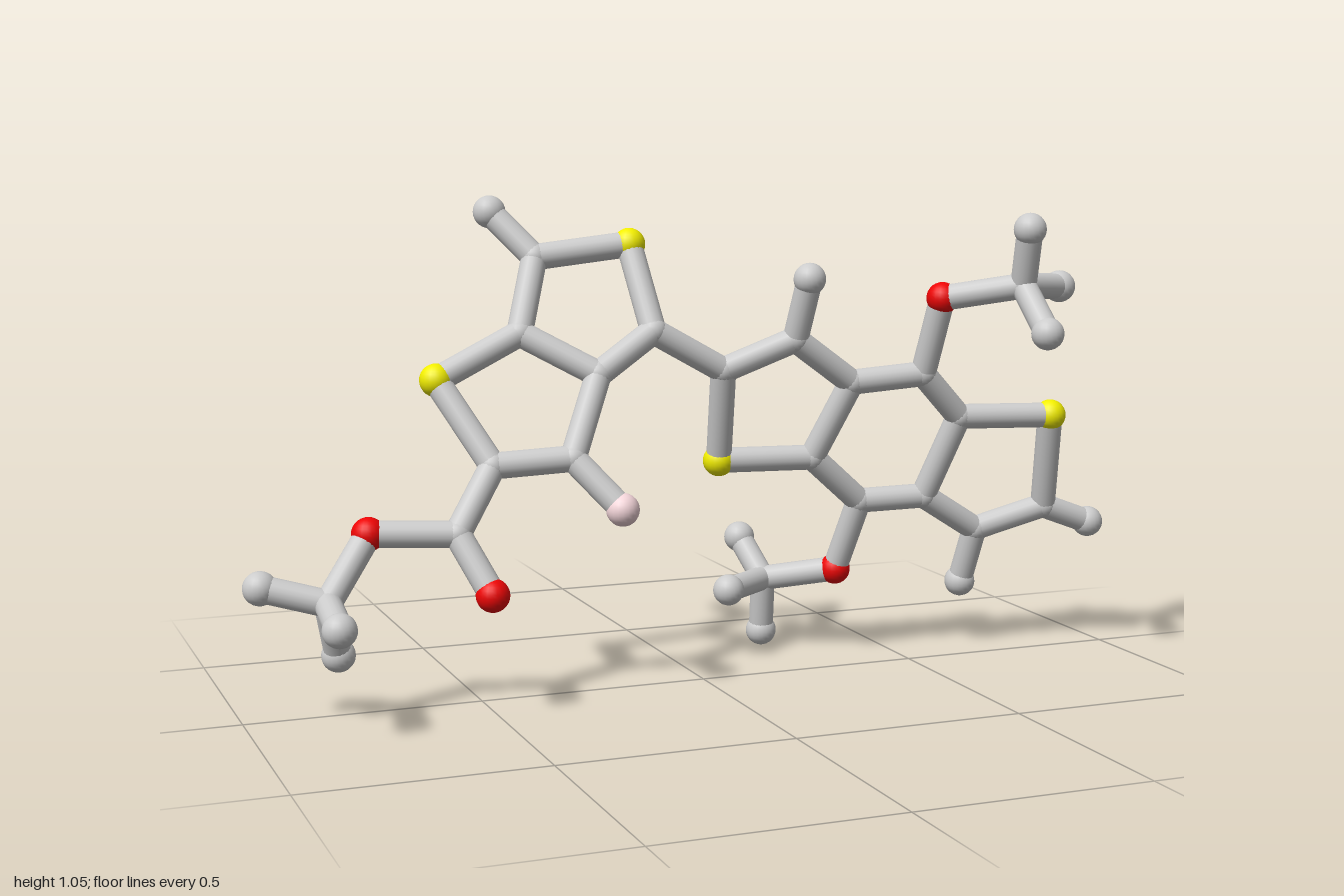
import * as THREE from 'three';

const ATOM_R = 0.035, JOINT_R = 0.03, BOND_R = 0.028;
const grey = new THREE.MeshStandardMaterial({ color: 0xcccccc });
const yellow = new THREE.MeshStandardMaterial({ color: 0xf2ee00 });
const red = new THREE.MeshStandardMaterial({ color: 0xee0505 });
const pink = new THREE.MeshStandardMaterial({ color: 0xf4d6da });

// kind of atom: [name, material, radius]
const KINDS = {
  C: ['carbonJoint', grey, JOINT_R],
  H: ['endAtom', grey, ATOM_R],
  S: ['sulfurAtom', yellow, ATOM_R],
  O: ['oxygenAtom', red, ATOM_R],
  F: ['fluorineAtom', pink, ATOM_R],
};

// Each flat ring system lies in a tilted plane z = f(x, y)
const leftPlane = (x, y) => 0.383 + 0.189 * x - 0.507 * y;
const rightPlane = (x, y) => -0.246 + 0.155 * x + 0.319 * y;

// Atoms: the first letter of the key is the kind; z comes from the plane unless given
const leftAtoms = {
  H1: [-0.41, 1.015], C1: [-0.33, 0.92], S1: [-0.125, 0.945],
  C2: [-0.105, 0.765], C3: [-0.235, 0.68], C4: [-0.385, 0.765],
  S2: [-0.57, 0.675], C5: [-0.48, 0.505], C6: [-0.315, 0.515],
  F1: [-0.23, 0.413],
  // ester arm and its methyl end
  C7: [-0.57, 0.377], O1: [-0.517, 0.26], O2: [-0.745, 0.383],
  C20: [-0.84, 0.257], H20: [-0.967, 0.29, 0.055],
  H21: [-0.81, 0.137, 0.04], H22: [-0.847, 0.233, 0.234],
};
const rightAtoms = {
  C8: [0.055, 0.675], S3: [0.07, 0.468], C9: [0.205, 0.74], H2: [0.218, 0.873],
  C10: [0.345, 0.64], C11: [0.28, 0.468], C12: [0.505, 0.655], C13: [0.605, 0.553],
  S4: [0.82, 0.55], C14: [0.845, 0.33], H3: [0.962, 0.286],
  C15: [0.69, 0.28], H4: [0.677, 0.15], C16: [0.553, 0.366], C17: [0.404, 0.36],
  // upper methoxy arm
  O3: [0.52, 0.826], C21: [0.655, 0.857, 0.212], H23: [0.644, 0.98, 0.255],
  H24: [0.783, 0.848, 0.145], H25: [0.66, 0.762, 0.31],
  // lower methoxy arm
  O4: [0.372, 0.195], C22: [0.238, 0.163, -0.23], H26: [0.115, 0.163, -0.137],
  H27: [0.212, 0.248, -0.31], H28: [0.243, 0.036, -0.252],
};

// Chains of bonded atoms, walked pair by pair
const chains = [
  'H1 C1 S1 C2 C3 C4 C1', 'C4 S2 C5 C6 C3', 'C6 F1',
  'C5 C7 O1', 'C7 O2 C20 H20', 'H21 C20 H22',
  'C2 C8 S3 C11 C10 C9 C8', 'C9 H2',
  'C10 C12 C13 C16 C17 C11', 'C13 S4 C14 C15 C16', 'C14 H3', 'C15 H4',
  'C12 O3 C21 H23', 'H24 C21 H25',
  'C17 O4 C22 H26', 'H27 C22 H28',
];

function bond(a, b) {
  const dir = b.clone().sub(a);
  const mesh = new THREE.Mesh(
    new THREE.CylinderGeometry(BOND_R, BOND_R, dir.length(), 18, 1, true), grey);
  mesh.name = 'bond';
  mesh.position.copy(a).add(b).multiplyScalar(0.5);
  mesh.quaternion.setFromUnitVectors(new THREE.Vector3(0, 1, 0), dir.normalize());
  return mesh;
}

export function createModel() {
  const model = new THREE.Group();
  model.name = 'molecule';
  const points = {};

  // Atoms of both ring systems
  for (const [name, atoms, plane] of [
    ['leftRingAtoms', leftAtoms, leftPlane],
    ['rightRingAtoms', rightAtoms, rightPlane],
  ]) {
    const group = new THREE.Group();
    group.name = name;
    for (const [key, [x, y, z = plane(x, y)]] of Object.entries(atoms)) {
      const [kind, material, radius] = KINDS[key[0]];
      const atom = new THREE.Mesh(new THREE.SphereGeometry(radius, 20, 14), material);
      atom.name = kind;
      atom.position.set(x, y, z);
      points[key] = atom.position;
      group.add(atom);
    }
    model.add(group);
  }

  // Bonds
  const bonds = new THREE.Group();
  bonds.name = 'bonds';
  for (const chain of chains) {
    const keys = chain.split(' ');
    for (let i = 1; i < keys.length; i++) bonds.add(bond(points[keys[i - 1]], points[keys[i]]));
  }
  model.add(bonds);
  return model;
}
